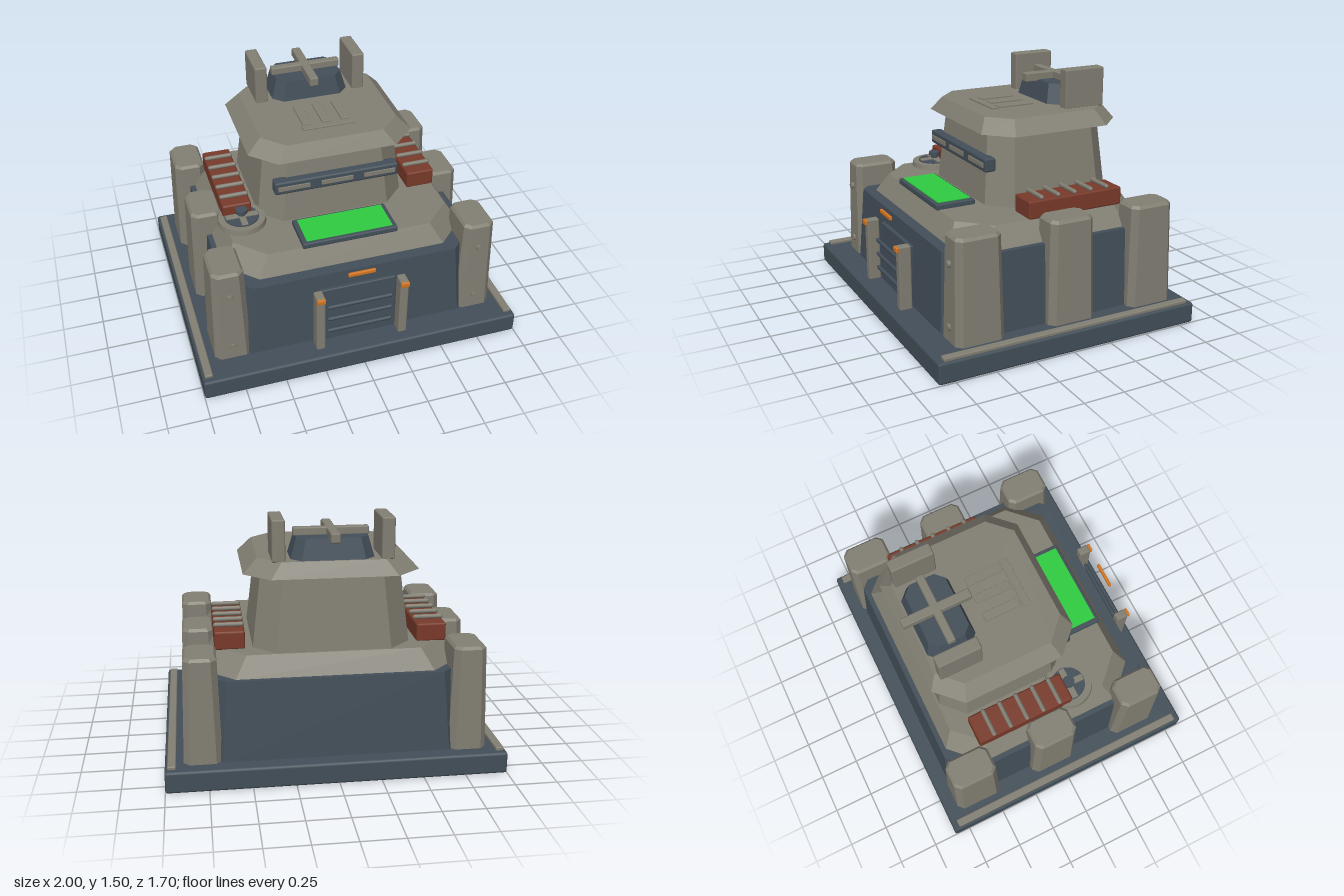
import * as THREE from 'three';
import { RoundedBoxGeometry } from 'three/addons/geometries/RoundedBoxGeometry.js';

const mat = (name, color) => {
  const m = new THREE.MeshStandardMaterial({ color });
  m.name = name;
  return m;
};

// Octagonal stack with flat faces; each ring is [y, halfWidth, halfDepth, cornerCut]
function octStack(rings) {
  const loops = rings.map(([y, w, d, c]) => [
    [w - c, d], [w, d - c], [w, c - d], [w - c, -d],
    [c - w, -d], [-w, c - d], [-w, d - c], [c - w, d],
  ].map(([x, z]) => [x, y, z]));
  const out = [];
  const tri = (a, b, c) => out.push(...a, ...b, ...c);
  for (let r = 0; r < loops.length - 1; r++) {
    const lo = loops[r], hi = loops[r + 1];
    for (let i = 0; i < 8; i++) {
      const j = (i + 1) % 8;
      tri(lo[i], lo[j], hi[j]);
      tri(lo[i], hi[j], hi[i]);
    }
  }
  const bottom = loops[0], top = loops[loops.length - 1];
  for (let i = 1; i < 7; i++) {
    tri(top[0], top[i], top[i + 1]);
    tri(bottom[0], bottom[i + 1], bottom[i]);
  }
  const g = new THREE.BufferGeometry();
  g.setAttribute('position', new THREE.Float32BufferAttribute(out, 3));
  g.computeVertexNormals();
  return g;
}

export function createModel() {
  const stone = mat('stone grey', 0x827f73);
  const slate = mat('dark slate', 0x434f59);
  const rust = mat('rust red', 0x793a2a);
  const green = mat('bright green', 0x2ecc40);
  const orange = mat('lamp orange', 0xd6761f);

  const model = new THREE.Group();
  model.name = 'bunker';

  const add = (name, geo, material, x = 0, y = 0, z = 0) => {
    const m = new THREE.Mesh(geo, material);
    m.name = name;
    m.position.set(x, y, z);
    model.add(m);
    return m;
  };
  // Softly bevelled box given by its limits
  const box = (name, material, x0, x1, y0, y1, z0, z1, bevel = 0.008) => {
    const s = [x1 - x0, y1 - y0, z1 - z0];
    const geo = new RoundedBoxGeometry(...s, 1, Math.min(bevel, Math.min(...s) * 0.3));
    return add(name, geo, material, (x0 + x1) / 2, (y0 + y1) / 2, (z0 + z1) / 2);
  };

  // Foundation slab and its side rails
  box('foundation', slate, -1, 1, 0, 0.13, -0.85, 0.85, 0.015);
  for (const s of [-1, 1]) {
    box('sideRail', stone, s * 0.96 - 0.025, s * 0.96 + 0.025, 0.125, 0.15, -0.81, 0.81);
  }

  // Main body: sloped walls, deck, tower and overhanging roof
  add('walls', octStack([[0.12, 0.83, 0.72, 0.16], [0.61, 0.79, 0.69, 0.16]]), slate, 0, 0, -0.03);
  add('deck', octStack([[0.608, 0.76, 0.64, 0.18], [0.73, 0.68, 0.57, 0.17]]), stone, 0, 0, -0.05);
  add('tower', octStack([[0.72, 0.467, 0.425, 0.13], [1.19, 0.41, 0.38, 0.12]]), stone, 0, 0, -0.185);
  add('roof', octStack([[1.175, 0.515, 0.46, 0.15], [1.262, 0.43, 0.405, 0.13]]), stone, 0, 0, -0.185);

  // Six buttress pillars, with bolts on the front pair
  const pillar = octStack([
    [0.125, 0.112, 0.153, 0.035], [0.745, 0.096, 0.14, 0.035], [0.762, 0.082, 0.126, 0.03],
  ]);
  const bolt = new THREE.CylinderGeometry(0.022, 0.022, 0.03, 8).rotateX(Math.PI / 2);
  for (const s of [-1, 1]) {
    for (const z of [0.535, -0.06, -0.61]) add('pillar', pillar, stone, s * 0.78, 0, z);
    add('upperBolt', bolt, stone, s * 0.78, 0.597, 0.682);
    add('lowerBolt', bolt, stone, s * 0.78, 0.22, 0.683);
  }

  // Cargo crates with strap rods on both sides of the tower
  const rod = new THREE.CapsuleGeometry(0.014, 0.155, 3, 8).rotateZ(Math.PI / 2);
  for (const s of [-1, 1]) {
    box('crate', rust, s * 0.6 - 0.09, s * 0.6 + 0.09, 0.725, 0.836, -0.5, 0.13, 0.012);
    for (let i = 0; i < 5; i++) add('strapRod', rod, stone, s * 0.6, 0.85, 0.045 - i * 0.111);
  }

  // Visor band with three slits
  box('visor', slate, -0.39, 0.39, 0.945, 1.03, 0.19, 0.262, 0.012);
  for (const x of [-0.27, 0, 0.27]) {
    box('visorSlit', stone, x - 0.1, x + 0.1, 0.972, 1.002, 0.259, 0.268, 0.002);
  }

  // Glowing panel on the deck
  box('panelFrame', slate, -0.297, 0.297, 0.725, 0.762, 0.282, 0.535);
  box('panelScreen', green, -0.27, 0.27, 0.762, 0.77, 0.302, 0.515, 0.002);

  // Round hatch with spokes and a handle
  const hx = -0.58, hz = 0.16;
  add('hatchRing', new THREE.CylinderGeometry(0.145, 0.15, 0.035, 28), stone, hx, 0.745, hz);
  add('hatchWell', new THREE.CylinderGeometry(0.105, 0.105, 0.008, 28), slate, hx, 0.765, hz);
  box('hatchSpoke', stone, hx - 0.1, hx + 0.1, 0.765, 0.778, hz - 0.02, hz + 0.02, 0.003);
  box('hatchSpoke', stone, hx - 0.02, hx + 0.02, 0.765, 0.778, hz - 0.1, hz + 0.1, 0.003);
  add('handleStem', new THREE.CylinderGeometry(0.022, 0.022, 0.04, 12), slate, hx, 0.787, hz);
  add('handleKnob', new THREE.CylinderGeometry(0.037, 0.037, 0.022, 16), slate, hx, 0.808, hz);

  // Front door: panel, slats, posts and lamps
  const door = box('door', slate, -0.24, 0.24, 0.125, 0.51, 0.665, 0.695);
  door.rotation.x = -0.04;
  const slat = new THREE.CapsuleGeometry(0.013, 0.39, 3, 8).rotateZ(Math.PI / 2);
  for (const y of [0.225, 0.317, 0.41]) add('doorSlat', slat, slate, 0, y, 0.73);
  for (const s of [-1, 1]) {
    const x = s * 0.262;
    box('doorPost', stone, x - 0.028, x + 0.028, 0.125, 0.535, 0.7, 0.78, 0.01);
    box('postLamp', orange, x - 0.027, x + 0.027, 0.5, 0.533, 0.775, 0.795, 0.006);
  }
  box('doorLamp', orange, -0.085, 0.085, 0.63, 0.656, 0.733, 0.752, 0.007);

  // Rooftop cupola with crossed bars
  add('cupola', octStack([[1.255, 0.245, 0.155, 0.06], [1.385, 0.208, 0.128, 0.05]]), slate, 0, 0, -0.425);
  box('crossBar', stone, -0.222, 0.222, 1.38, 1.43, -0.456, -0.406);
  box('lengthBar', stone, -0.028, 0.028, 1.373, 1.43, -0.645, -0.212);

  // Rooftop fins beside the cupola
  for (const s of [-1, 1]) {
    box('fin', stone, s * 0.315 - 0.039, s * 0.315 + 0.039, 1.255, 1.5, -0.573, -0.304, 0.01);
  }

  // Raised vent strips
  for (const x of [-0.122, 0, 0.122]) {
    box('ventStrip', stone, x - 0.028, x + 0.028, 1.258, 1.272, -0.188, 0.04, 0.003);
  }
  box('ventSill', stone, -0.163, 0.163, 1.258, 1.272, 0.05, 0.098, 0.003);

  return model;
}
